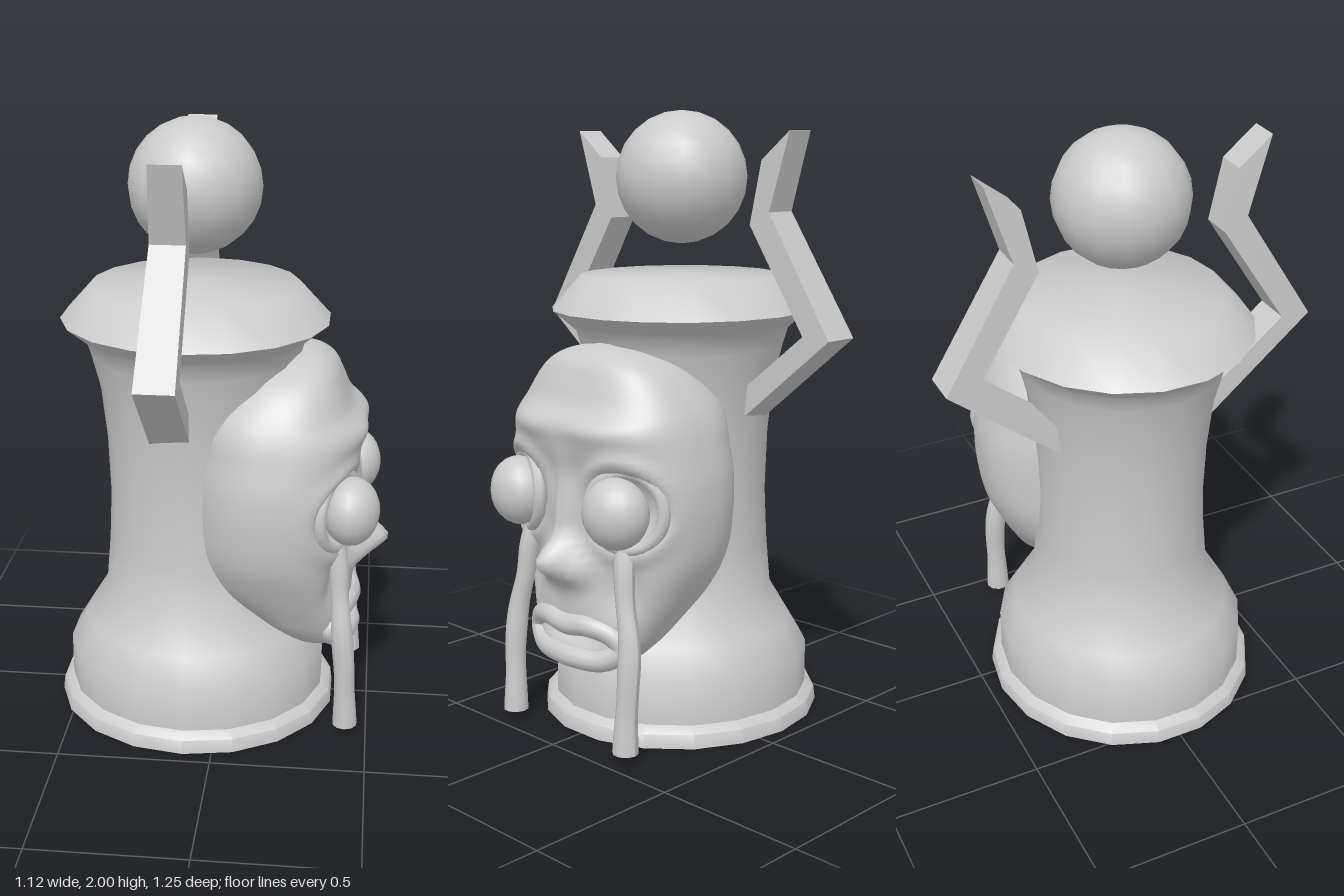
import * as THREE from 'three';
import { toCreasedNormals, mergeVertices } from 'three/addons/utils/BufferGeometryUtils.js';

const AXIS_X = -0.095;
const material = new THREE.MeshStandardMaterial({ color: 0xcccccc, side: THREE.DoubleSide });
const v3 = (x, y, z) => new THREE.Vector3(x, y, z);

function add(parent, name, geometry) {
  const mesh = new THREE.Mesh(geometry, material);
  mesh.name = name;
  parent.add(mesh);
  return mesh;
}

// Builds a surface from rings of points; rings run along +y, points from +x to +z
function loft(rings, closed) {
  const n = rings[0].length, index = [];
  for (let i = 0; i < rings.length - 1; i++) {
    for (let j = 0; j < n; j++) {
      const a = i * n + j, b = i * n + (j + 1) % n, c = a + n, d = b + n;
      index.push(a, c, b, b, c, d);
    }
  }
  if (closed) {
    const last = (rings.length - 1) * n;
    for (let j = 1; j < n - 1; j++) {
      index.push(0, j, j + 1, last, last + j + 1, last + j);
    }
  }
  const g = new THREE.BufferGeometry().setFromPoints(rings.flat());
  g.setIndex(index);
  g.computeVertexNormals();
  return g;
}

// Waisted pedestal with a stepped foot and a bevelled top
function pedestal() {
  const profile = [[0, 0], [0.478, 0], [0.472, 0.045], [0.44, 0.065], [0.44, 0.21], [0.385, 0.3], [0.312, 0.42],
    [0.298, 0.58], [0.29, 0.75], [0.297, 0.95], [0.315, 1.12], [0.345, 1.24], [0.362, 1.295], [0.385, 1.315],
    [0.44, 1.36], [0.34, 1.47], [0, 1.475]];
  const g = new THREE.LatheGeometry(profile.map(p => new THREE.Vector2(p[0], p[1])), 18);
  g.scale(1, 1, 0.96);
  g.translate(AXIS_X, 0, 0);
  g.deleteAttribute('uv');
  return toCreasedNormals(g, 0.9);
}

const bump = (z, y, cz, cy, sz, sy) => Math.exp(-(((z - cz) / sz) ** 2) - ((y - cy) / sy) ** 2);

// Depth added to the front of the head for each facial feature
function relief(z, y) {
  const m = Math.abs(z);
  const ring = Math.hypot(m - 0.225, y - 0.79);
  let d = 0.115 * bump(z, y, 0, 0.605, 0.07, 0.065);           // nose tip
  d += 0.05 * bump(z, y, 0, 0.74, 0.045, 0.14);                // bridge
  d += 0.03 * bump(m, y, 0.075, 0.57, 0.035, 0.04);            // nostrils
  d -= 0.055 * Math.exp(-((ring / 0.11) ** 2));                // eye sockets
  d += 0.025 * Math.exp(-(((ring - 0.145) / 0.028) ** 2));     // socket rims
  d -= 0.04 * bump(m, y, 0.2, 0.52, 0.07, 0.09);               // cheek hollows
  d -= 0.05 * bump(z, y, 0, 0.36, 0.13, 0.03);                 // mouth
  d += 0.012 * bump(m, y, 0.13, 1.03, 0.1, 0.035);             // brow
  return d;
}

function head() {
  // Rows: height, front x, half width, centre x, rear depth
  const rows = [
    [0.245, 0.37, 0.06, 0.33, 0.04], [0.27, 0.42, 0.16, 0.32, 0.10], [0.33, 0.435, 0.22, 0.28, 0.16],
    [0.4, 0.435, 0.262, 0.25, 0.23], [0.5, 0.435, 0.315, 0.21, 0.3], [0.62, 0.42, 0.367, 0.18, 0.3],
    [0.75, 0.42, 0.388, 0.17, 0.29], [0.87, 0.43, 0.388, 0.17, 0.29], [0.97, 0.46, 0.37, 0.17, 0.28],
    [1.04, 0.465, 0.352, 0.17, 0.28], [1.1, 0.42, 0.325, 0.18, 0.27], [1.17, 0.39, 0.275, 0.2, 0.22],
    [1.22, 0.365, 0.215, 0.22, 0.17], [1.255, 0.32, 0.13, 0.24, 0.1], [1.272, 0.265, 0.02, 0.25, 0.02]];
  const spline = f => new THREE.CatmullRomCurve3(rows.map(f), false, 'catmullrom', 0.5);
  const frontCurve = spline(r => v3(r[1], r[0], r[2]));
  const rearCurve = spline(r => v3(r[3], r[0], r[4]));
  const rings = [], COUNT = 70, SIDES = 96;
  for (let i = 0; i <= COUNT; i++) {
    const f = frontCurve.getPoint(i / COUNT), b = rearCurve.getPoint(i / COUNT), ring = [];
    for (let j = 0; j < SIDES; j++) {
      const t = j / SIDES * Math.PI * 2, s = Math.sin(t), c = Math.cos(t);
      const z = f.z * s, n = c > 0 ? 2.6 : 2.1;
      const reach = Math.pow(Math.max(0, 1 - Math.abs(s) ** n), 1 / n);
      const x = c > 0 ? b.x + (f.x - b.x) * reach + relief(z, f.y) * Math.min(1, c * 2.5) : b.x - b.z * reach;
      ring.push(v3(x, f.y, z));
    }
    rings.push(ring);
  }
  return loft(rings, true);
}

// Bent square horn; each section holds outer z, y, inner z, y and the x range
function horn() {
  const sections = [
    [0.23, 0.98, 0.23, 1.075, -0.215, -0.085], [0.627, 1.304, 0.526, 1.31, -0.205, -0.08],
    [0.39, 1.685, 0.312, 1.643, -0.185, -0.075], [0.468, 1.934, 0.357, 1.844, -0.175, -0.075]];
  const rings = sections.map(([oz, oy, iz, iy, x0, x1]) =>
    [v3(x1, iy, iz), v3(x1, oy, oz), v3(x0, oy, oz), v3(x0, iy, iz)]);
  return toCreasedNormals(loft(rings, true), 0.5);
}

// Hanging strand below the eye, slightly flared towards its flat end
function strand() {
  const path = new THREE.CatmullRomCurve3([v3(0.37, 0.7, 0.205), v3(0.392, 0.6, 0.222), v3(0.4, 0.5, 0.235),
    v3(0.41, 0.38, 0.262), v3(0.422, 0.25, 0.268), v3(0.427, 0.12, 0.263), v3(0.43, 0.03, 0.262)]);
  const g = new THREE.TubeGeometry(path, 28, 0.034, 10);
  const p = g.attributes.position;
  for (let i = 0; i < p.count; i++) {
    const k = Math.floor(i / 11) / 28, c = path.getPointAt(k);
    const w = 0.95 + 0.22 * k * k + 0.06 * Math.sin(k * 14);
    p.setXYZ(i, c.x + (p.getX(i) - c.x) * w, p.getY(i), c.z + (p.getZ(i) - c.z) * w);
  }
  g.computeVertexNormals();
  return g;
}

// Flat end of the strand
function strandEnd() {
  const g = new THREE.SphereGeometry(0.039, 10, 6);
  g.scale(1, 0.25, 1);
  g.translate(0.43, 0.033, 0.262);
  return g;
}

function lips() {
  const outline = [[0, 0.392], [0.09, 0.4], [0.165, 0.375], [0.19, 0.335], [0.14, 0.293], [0, 0.287]];
  const left = outline.map(([z, y]) => v3(0.432 - 1.7 * z * z, y, z));
  const right = outline.slice(1, -1).reverse().map(([z, y]) => v3(0.432 - 1.7 * z * z, y, -z));
  const path = new THREE.CatmullRomCurve3([...left, ...right], true);
  return new THREE.TubeGeometry(path, 48, 0.036, 10, true);
}

function eye() {
  const g = new THREE.SphereGeometry(1, 18, 12);
  g.scale(0.09, 0.112, 0.11);
  g.rotateY(-0.25);
  g.translate(0.43, 0.79, 0.225);
  return g;
}

// Raised lid around the eye
function eyelid() {
  const g = new THREE.TorusGeometry(0.122, 0.022, 8, 28);
  g.rotateY(Math.PI / 2 - 0.45);
  g.translate(0.385, 0.79, 0.225);
  return g;
}

export function createModel() {
  const model = new THREE.Group();
  model.name = 'hornedHeadPedestal';
  add(model, 'pedestal', pedestal());

  const orb = new THREE.SphereGeometry(0.215, 16, 12);
  orb.translate(AXIS_X, 1.785, 0);
  add(model, 'orb', orb);

  const face = new THREE.Group();
  face.name = 'face';
  model.add(face);
  add(face, 'head', mergeVertices(head()));
  add(face, 'lips', lips());

  // Paired parts on both sides of the face
  const pairs = { horn: horn(), eye: eye(), eyelid: eyelid(), strand: strand(), strandEnd: strandEnd() };
  for (const side of [1, -1]) {
    for (const [name, geometry] of Object.entries(pairs)) {
      add(name === 'horn' ? model : face, name, geometry).scale.z = side;
    }
  }
  return model;
}
